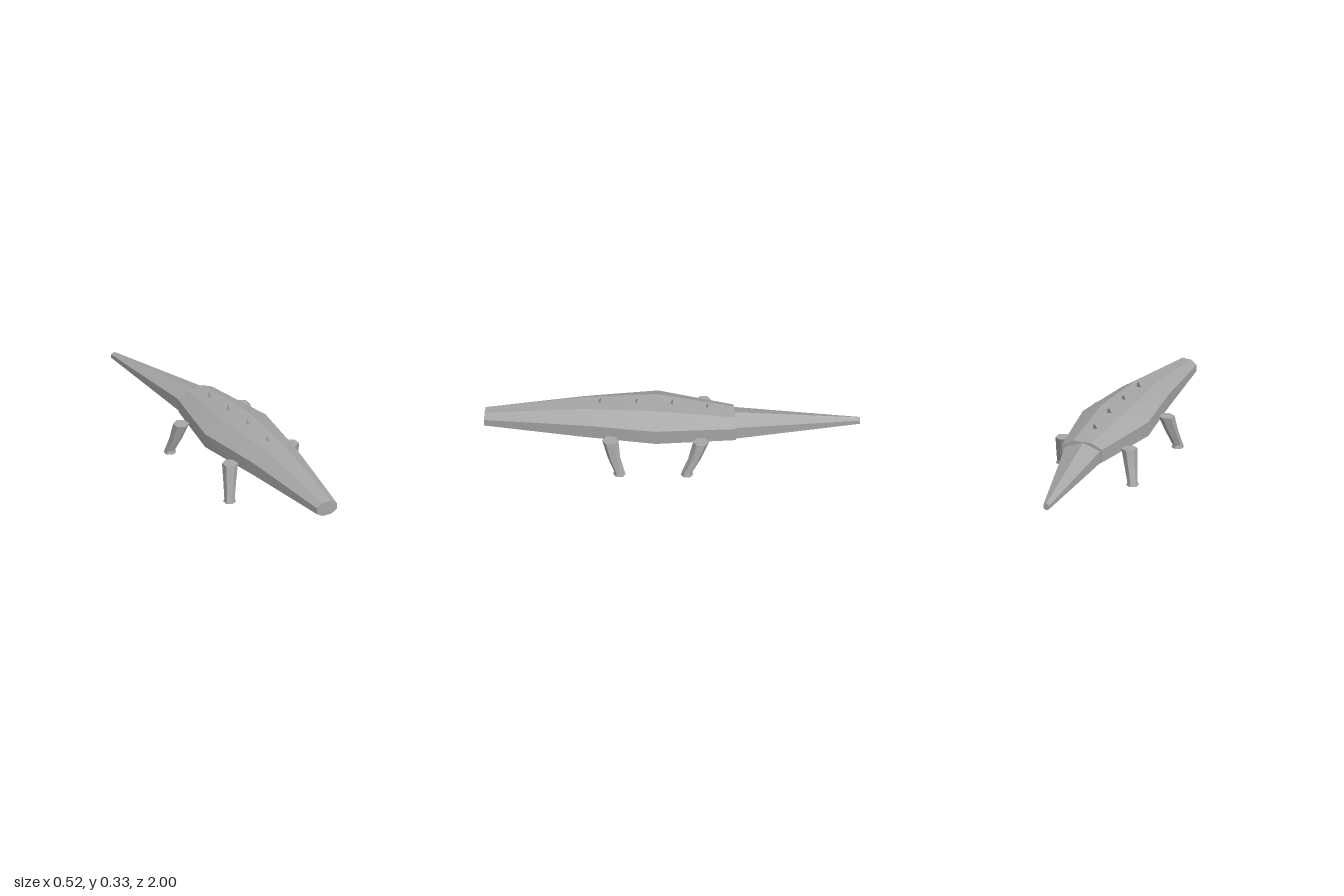
import * as THREE from 'three';
import { toCreasedNormals } from 'three/addons/utils/BufferGeometryUtils.js';

// Skin a list of equal-length point rings and cap both ends.
// Rings run counter-clockwise as seen from the last ring's end.
function loft(rings, crease) {
  const n = rings[0].length, pos = rings.flat(2), index = [];
  for (let r = 0; r < rings.length - 1; r++) {
    for (let i = 0; i < n; i++) {
      const a = r * n + i, b = r * n + (i + 1) % n;
      index.push(a, b, b + n, a, b + n, a + n);
    }
  }
  const last = (rings.length - 1) * n;
  for (let i = 1; i < n - 1; i++) {
    index.push(0, i + 1, i, last, last + i, last + i + 1);
  }
  const g = new THREE.BufferGeometry();
  g.setAttribute('position', new THREE.Float32BufferAttribute(pos, 3));
  g.setIndex(index);
  return toCreasedNormals(g, crease);
}

// Eight-sided torso section, slightly skewed in z by "tilt"
function octagon({ z, cx, w, wt, top, hi, lo, bot, tilt = 0 }) {
  return [[wt, top], [-wt, top], [-w, hi], [-w, lo], [-wt, bot], [wt, bot], [w, lo], [w, hi]]
    .map(([x, y]) => [cx + x, y, z + tilt * x]);
}

// Six-sided tail section with a corner on top
function tailRing(cx, cy, z, rx, ry, tilt) {
  return Array.from({ length: 6 }, (_, i) => {
    const a = Math.PI / 2 + i * Math.PI / 3, x = Math.cos(a) * rx;
    return [cx + x, cy + Math.sin(a) * ry, z + tilt * x];
  });
}

// Level six-sided leg section with corners along z
function legRing(x, y, z, r) {
  return Array.from({ length: 6 }, (_, i) => {
    const a = i * Math.PI / 3;
    return [x + Math.sin(a) * r, y, z + Math.cos(a) * r];
  });
}

export function createModel() {
  const model = new THREE.Group();
  model.name = 'lizard';
  const grey = new THREE.MeshStandardMaterial({ color: 0xa6a6a6 });
  grey.name = 'grey skin';
  const add = (name, geometry) => {
    const mesh = new THREE.Mesh(geometry, grey);
    mesh.name = name;
    model.add(mesh);
    return mesh;
  };

  // Torso and blunt head, from hips to snout
  add('body', loft([
    { z: -0.335, cx: 0.007, w: 0.113, wt: 0.05, top: 0.264, hi: 0.232, lo: 0.16, bot: 0.122, tilt: -0.09 },
    { z: 0.08, cx: -0.004, w: 0.191, wt: 0.08, top: 0.307, hi: 0.252, lo: 0.173, bot: 0.117 },
    { z: 0.47, cx: 0, w: 0.136, wt: 0.056, top: 0.3, hi: 0.248, lo: 0.175, bot: 0.124 },
    { z: 0.995, cx: -0.01, w: 0.06, wt: 0.026, top: 0.235, hi: 0.212, lo: 0.176, bot: 0.155, tilt: 0.08 },
  ].map(octagon), 0.4));

  // Tail swings towards the right side
  add('tail', loft([
    tailRing(-0.082, 0.16, -1, 0.02, 0.02, 0),
    tailRing(0.003, 0.19, -0.33, 0.113, 0.069, -0.09),
  ], 0.4));

  // Legs: knee and foot z for each, with flared feet
  const legs = [
    ['frontLeftLeg', 1, 0.322, 0.302, 0.272, 0.005],
    ['frontRightLeg', -1, 0.322, 0.35, 0.38, 0],
    ['backLeftLeg', 1, -0.162, -0.128, -0.088, 0.01],
    ['backRightLeg', -1, -0.162, -0.185, -0.21, 0.008],
  ];
  for (const [name, side, hip, knee, foot, ground] of legs) {
    add(name, loft([
      legRing(side * 0.232, ground, foot, 0.034),
      legRing(side * 0.232, ground + 0.017, foot, 0.028),
      legRing(side * 0.212, 0.1, knee, 0.034),
      legRing(side * 0.192, 0.195, hip, 0.043),
    ], 0.3));
  }

  // Row of small back-swept spikes along the spine
  const spike = (y, z) => loft([
    [[0.015, y, z + 0.004], [0, y, z - 0.008], [-0.015, y, z + 0.004]].reverse(),
    [[0.004, y + 0.034, z - 0.008], [0, y + 0.034, z - 0.012], [-0.004, y + 0.034, z - 0.008]].reverse(),
  ], 0.2);
  [[0.297, 0.39], [0.297, 0.195], [0.296, 0.005], [0.276, -0.182]].forEach(([y, z], i) => {
    add('spike' + (i + 1), spike(y, z));
  });

  return model;
}
